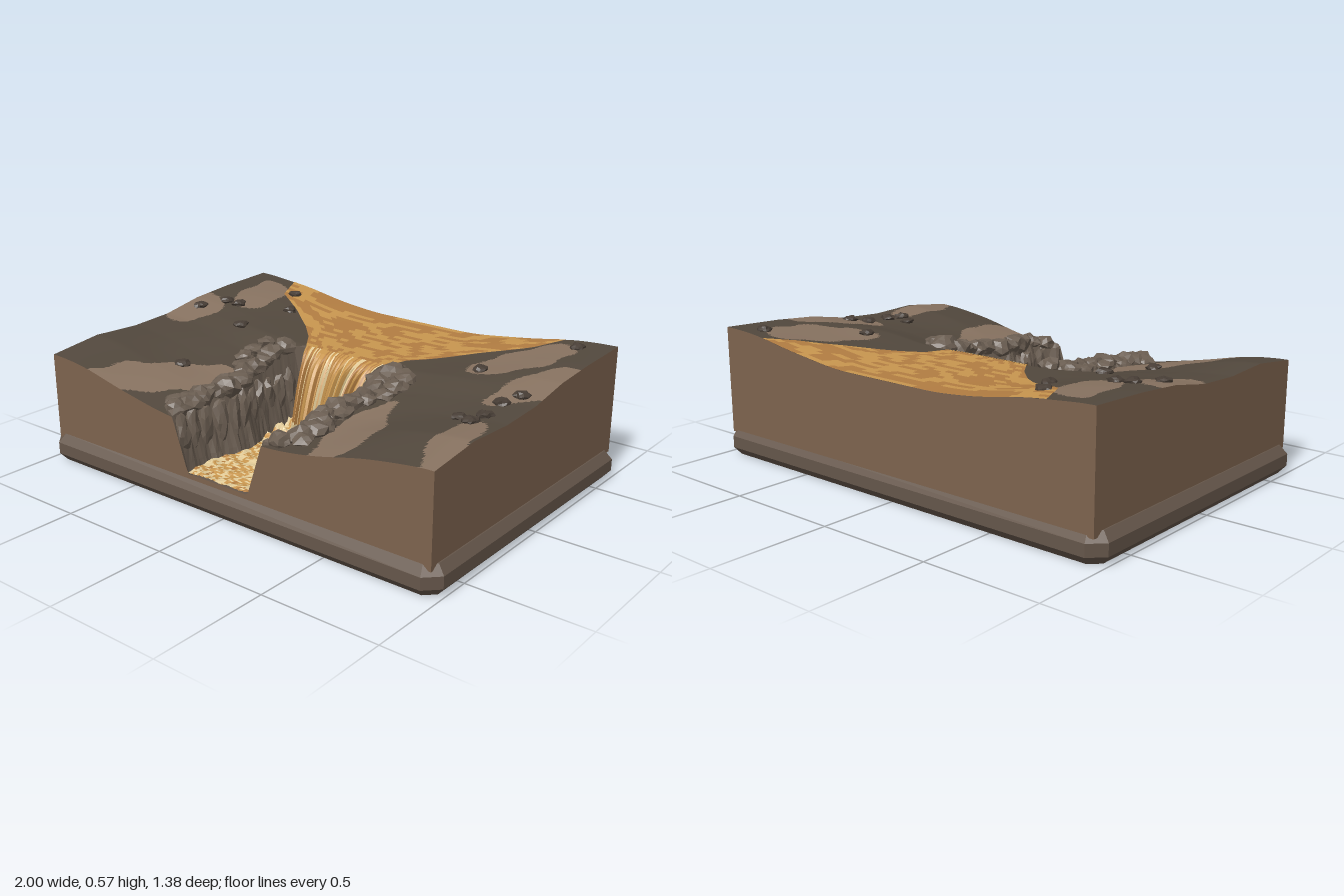
import * as THREE from 'three';

const mat = (name, color, side = THREE.DoubleSide) => {
  const m = new THREE.MeshStandardMaterial({ color, side });
  m.name = name;
  return m;
};
const { lerp, clamp, smoothstep } = THREE.MathUtils;
const hash = (a, b) => {
  const s = Math.sin(a * 127.1 + b * 311.7) * 43758.5453;
  return s - Math.floor(s);
};
// piecewise linear lookup in [[key, value], ...]
const table = (pts, k) => {
  for (let i = 1; i < pts.length; i++) {
    if (k <= pts[i][0] || i === pts.length - 1) {
      const [a, b] = [pts[i - 1], pts[i]];
      return lerp(a[1], b[1], clamp((k - a[0]) / (b[0] - a[0]), 0, 1));
    }
  }
};

const X = 0.965, BACK = -0.67, FRONT = 0.66, LIP = -0.1, FLOOR = 0.145;

// height of the land along the middle and along the outer edges
const MIDDLE = [[-0.67, 0.48], [-0.1, 0.472], [0.05, 0.425], [0.3, 0.39], [0.66, 0.36]];
const OUTER = [[-0.67, 0.56], [-0.4, 0.55], [-0.2, 0.535], [0, 0.5], [0.2, 0.49], [0.42, 0.5], [0.66, 0.472]];
const land = (x, z) => {
  const f = smoothstep(Math.abs(x), 0.2, 0.97);
  return lerp(table(MIDDLE, z), table(OUTER, z), f) + 0.007 * f * (1 - f) * 4 * Math.sin(9 * x + 4 * z) * Math.sin(7 * z - 3 * x);
};

// half widths of the upper river and of the gorge floor, for left (+x) and right (-x)
const FAN = {
  1: [[-0.67, 0.73], [-0.55, 0.65], [-0.4, 0.47], [-0.3, 0.36], [-0.2, 0.25], [-0.1, 0.22]],
  '-1': [[-0.67, 0.76], [-0.5, 0.68], [-0.4, 0.51], [-0.3, 0.38], [-0.2, 0.28], [-0.1, 0.21]],
};
const BED = {
  1: [[-0.1, 0.18], [0.2, 0.19], [0.33, 0.145], [0.4, 0.17], [0.49, 0.21], [0.56, 0.18], [0.66, 0.13]],
  '-1': [[-0.1, 0.2], [0.1, 0.21], [0.2, 0.19], [0.3, 0.155], [0.4, 0.165], [0.5, 0.2], [0.66, 0.185]],
};
const rim = (s, z) => table(BED[s], z) + 0.075;
const shore = (s, z) => (z < LIP ? table(FAN[s], z) : lerp(table(FAN[s], LIP), rim(s, z), smoothstep(z, LIP, LIP + 0.03)));

// surface over a u,v grid; pick(x, y, z, i, j) returns the material index of each triangle
function surface(name, nu, nv, point, mats, pick = () => 0, flat = false) {
  const pos = [], lists = mats.map(() => []);
  for (let j = 0; j <= nv; j++) for (let i = 0; i <= nu; i++) pos.push(...point(i / nu, j / nv));
  const add = (a, b, c, i, j) => {
    const mid = [0, 1, 2].map(k => (pos[a * 3 + k] + pos[b * 3 + k] + pos[c * 3 + k]) / 3);
    lists[pick(...mid, i, j)].push(a, b, c);
  };
  for (let j = 0; j < nv; j++) for (let i = 0; i < nu; i++) {
    const a = j * (nu + 1) + i, c = a + nu + 1;
    add(a, c, a + 1, i, j);
    add(a + 1, c, c + 1, i, j);
  }
  let g = new THREE.BufferGeometry();
  g.setAttribute('position', new THREE.Float32BufferAttribute(pos, 3));
  g.setIndex(lists.flat());
  let start = 0;
  lists.forEach((l, k) => { g.addGroup(start, l.length, k); start += l.length; });
  if (flat) {
    const groups = g.groups;
    g = g.toNonIndexed();
    g.groups = groups;
  }
  g.computeVertexNormals();
  const mesh = new THREE.Mesh(g, mats);
  mesh.name = name;
  return mesh;
}

// pale patches on the ground: centre x, z, radii, tilt
const PATCHES = [
  [-0.76, -0.42, 0.1, 0.2, 0.3], [-0.92, -0.14, 0.13, 0.17, 0.5], [-0.52, 0.47, 0.13, 0.32, -0.75],
  [0.7, -0.38, 0.12, 0.24, -0.5], [0.9, -0.15, 0.1, 0.22, -0.4], [0.9, 0.46, 0.07, 0.25, 0.2],
  [0.46, 0.45, 0.1, 0.28, 0.15], [-0.3, 0.22, 0.05, 0.14, -0.4],
];
const isPale = (x, z) => PATCHES.some(([cx, cz, rx, rz, t]) => {
  const dx = x - cx, dz = z - cz, c = Math.cos(t), s = Math.sin(t);
  const d = Math.hypot((dx * c - dz * s) / rx, (dx * s + dz * c) / rz);
  return d + 0.1 * Math.sin(x * 23 + z * 9) + 0.08 * Math.sin(z * 31 - x * 12) < 1;
});

export function createModel() {
  const model = new THREE.Group();
  const soil = mat('soil', 0x7d634e), stand = mat('stand', 0x65564a, THREE.FrontSide);
  const dark = mat('dark ground', 0x52483d), pale = mat('pale ground', 0x877260);
  const amber = mat('amber water', 0xc8964f), ochre = mat('ochre water', 0xb27d42), foam = mat('foam', 0xe2cb98);
  const rock = mat('rock', 0x6a5d51), pebble = mat('pebble', 0x483e36);
  rock.flatShading = pebble.flatShading = true;

  // bevelled stand with clipped corners
  const w = 0.97, d = 0.66, k = 0.04;
  const plan = new THREE.Shape([[w - k, -d], [w, k - d], [w, d - k], [w - k, d], [k - w, d], [-w, d - k], [-w, k - d], [k - w, -d]]
    .map(p => new THREE.Vector2(...p)));
  const standGeo = new THREE.ExtrudeGeometry(plan, { depth: 0.05, bevelThickness: 0.035, bevelSize: 0.03, bevelSegments: 1 });
  const standMesh = new THREE.Mesh(standGeo.rotateX(-Math.PI / 2).translate(0, 0.035, 0), stand);
  standMesh.name = 'stand';
  model.add(standMesh);

  // cut earth faces
  const frontTop = x => {
    const s = x < 0 ? -1 : 1, bed = table(BED[s], FRONT), top = rim(s, FRONT);
    return lerp(FLOOR - 0.005, land(s * Math.max(top, Math.abs(x)), FRONT), clamp((Math.abs(x) - bed) / (top - bed), 0, 1));
  };
  const skirt = (name, at) => model.add(surface(name, 160, 1, (u, v) => {
    const [x, y, z] = at(u);
    return [x, lerp(y, 0.1, v), z];
  }, [soil]));
  skirt('frontEarth', u => { const x = lerp(-X, X, u); return [x, frontTop(x), FRONT]; });
  skirt('backEarth', u => { const x = lerp(X, -X, u); return [x, land(x, BACK), BACK]; });
  skirt('leftEarth', u => { const z = lerp(FRONT, BACK, u); return [X, land(X, z), z]; });
  skirt('rightEarth', u => { const z = lerp(BACK, FRONT, u); return [-X, land(-X, z), z]; });

  // a faceted, slightly irregular stone
  const stone = (name, x, y, z, r, sy, seed, material) => {
    const g = new THREE.IcosahedronGeometry(1, 1), p = g.attributes.position;
    for (let i = 0; i < p.count; i++) {
      const [a, b, c] = [p.getX(i), p.getY(i), p.getZ(i)].map(q => Math.round(q * 100));
      const n = 0.72 + 0.45 * hash(a + seed * 3.3, b * 1.7 + c * 0.37);
      p.setXYZ(i, p.getX(i) * n, p.getY(i) * n, p.getZ(i) * n);
    }
    g.computeVertexNormals();
    const m = new THREE.Mesh(g, material);
    m.name = name;
    m.position.set(x, y, z);
    m.scale.set(r, r * sy, r);
    m.rotation.y = seed * 1.9;
    model.add(m);
  };

  for (const s of [1, -1]) {
    // ground from the shore to the outer edge
    model.add(surface(s > 0 ? 'leftGround' : 'rightGround', 56, 96, (u, v) => {
      const z = lerp(BACK, FRONT, v), x = s * lerp(shore(s, z), X, s > 0 ? u : 1 - u);
      return [x, land(x, z), z];
    }, [dark, pale], (x, y, z) => (isPale(x, z) ? 1 : 0)));

    // ribbed gorge wall
    model.add(surface(s > 0 ? 'leftGorgeWall' : 'rightGorgeWall', 48, 5, (u, v) => {
      const z = lerp(LIP, FRONT, u), top = rim(s, z);
      const rib = u > 0 && u < 1 ? 0.022 * (hash(Math.floor(u * 24) + s, 3) - 0.5) + 0.006 * hash(u * 48, v * 5) : 0;
      return [s * (lerp(table(BED[s], z) - 0.005, top, v) + rib * (1 - v)), lerp(FLOOR - 0.03, land(top, z), v), z];
    }, [rock]));

    // boulders along the rim, with slabs leaning on the wall below
    for (let i = 0; i < 11; i++) {
      const z = -0.05 + i * 0.066, edge = rim(s, z), r = 0.046 + 0.018 * hash(i, s + 5);
      const x1 = edge + 0.005 + 0.03 * hash(i, s), x2 = edge + (i < 3 ? 0.1 : 0.06);
      stone('rimBoulder', s * x1, land(x1, z) + 0.012, Math.min(z, 0.605), r, 0.75, i + s * 20, rock);
      if (i < 3 || i % 2) stone('bankBoulder', s * x2, land(x2, z) + 0.006, Math.min(z + 0.02, 0.61), r * 0.9, 0.6, i + s * 50, rock);
      stone('wallSlab', s * (edge - 0.022), 0.28, Math.min(z + 0.02, 0.625), 0.034, 3, i + s * 80, rock);
    }
  }

  // upper river, a fan of amber and ochre flakes
  model.add(surface('upperRiver', 64, 60, (u, v) => {
    const z = lerp(BACK, LIP, v), x = lerp(-shore(-1, z), shore(1, z), u);
    return [x, land(x, z) + 0.001, z];
  }, [amber, ochre], (x, y, z, i, j) => {
    const row = Math.floor(j / 3), col = Math.floor((i + 5 * hash(row, 9)) / 4);
    return hash(col, row) > 0.5 ? 1 : 0;
  }));

  // rock face behind the fall
  const cliff = new THREE.Mesh(new THREE.BoxGeometry(0.54, 0.33, 0.03), rock);
  cliff.name = 'cliffBehindFall';
  cliff.position.set(0, 0.3, LIP - 0.006);
  model.add(cliff);

  // waterfall with vertical folds
  model.add(surface('waterfall', 56, 12, (u, v) => {
    const half = lerp(0.205, 0.14, Math.pow(v, 0.7));
    const fold = 0.035 * (hash(Math.round(u * 56), 4) - 0.5) * smoothstep(v, 0, 0.4);
    return [lerp(-half, half, u), 0.474 - 0.325 * Math.pow(v, 1.5), LIP + 0.2 * Math.pow(v, 0.75) + fold];
  }, [amber, ochre, foam], (x, y, z, i, j) => {
    const h = hash(i, 7);
    return (j > 10 && h > 0.3) || h > 0.82 ? 2 : h > 0.5 ? 1 : 0;
  }, true));

  // lower river, choppy below the fall and flecked with foam
  model.add(surface('lowerRiver', 40, 80, (u, v) => {
    const z = lerp(0.02, FRONT, v), x = lerp(-table(BED[-1], z), table(BED[1], z), u);
    const chop = lerp(0.045, 0.008, smoothstep(z, 0.1, 0.25));
    const wave = 0.5 + 0.5 * Math.sin(z * 75 + 3 * Math.sin(x * 22) + x * 14);
    return [x, FLOOR + chop * wave * (0.5 + 0.5 * hash(Math.round(u * 40), Math.round(v * 80))), z];
  }, [amber, ochre, foam], (x, y, z, i, j) => {
    const h = hash(Math.floor(i / 2) + 11, Math.floor((j + 3 * (Math.floor(i / 2) % 2)) / 4));
    return (j + 2 * (Math.floor(i / 3) % 2)) % 4 === 0 || h > 0.68 ? 2 : h < 0.12 ? 1 : 0;
  }, true));

  // scattered pebbles
  [[-0.64, -0.53], [-0.54, -0.38], [-0.75, -0.26], [-0.82, -0.25], [-0.88, -0.14], [-0.58, -0.09], [-0.54, 0.32],
    [0.83, -0.58], [0.6, -0.21], [0.88, -0.05], [0.84, 0.03], [0.85, 0.16], [0.77, 0.21], [0.84, 0.24]]
    .forEach(([x, z], i) => stone('pebble', x, land(x, z) + 0.004, z, 0.034, 0.5, i + 200, pebble));

  return model;
}
